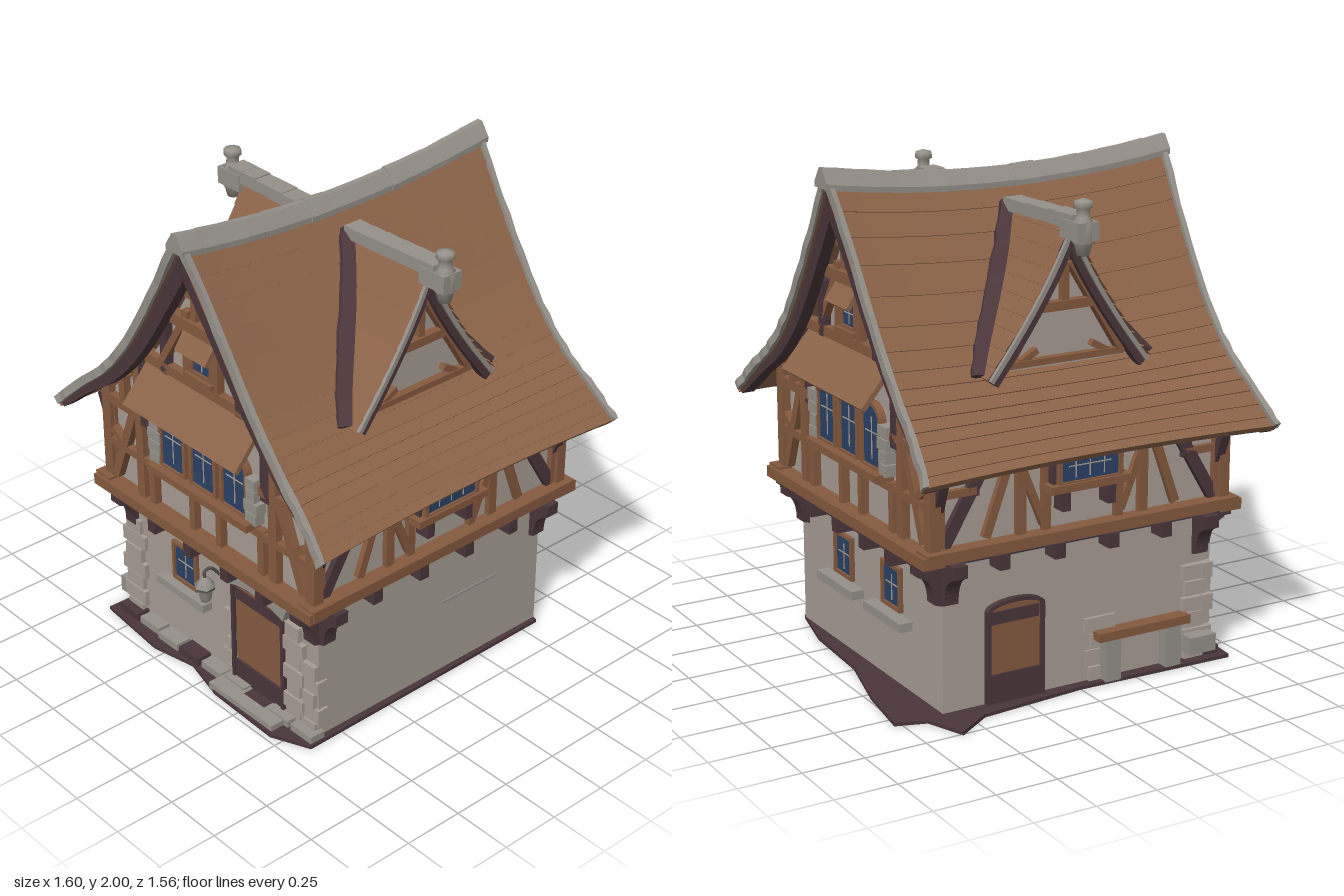
import * as THREE from 'three';

const mat = (name, color) => new THREE.MeshStandardMaterial({ name, color, side: THREE.DoubleSide });
const V = (x, y, z) => new THREE.Vector3(x, y, z);

export function createModel() {
  const plaster = mat('plaster', 0xa79d94), stone = mat('stone', 0x959089), roofTile = mat('roofTile', 0x8c6449);
  const timber = mat('timber', 0x855a3f), darkWood = mat('darkWood', 0x4a363a), glass = mat('glass', 0x2a4166);
  const iron = mat('iron', 0x575350);
  const house = new THREE.Group();
  house.name = 'house';
  let seed = 7;
  const rnd = () => ((seed = (seed * 16807) % 2147483647) / 2147483647);

  // ---- helpers
  const add = (g, name, geo, m) => {
    const mesh = new THREE.Mesh(geo, m);
    mesh.name = name;
    g.add(mesh);
    return mesh;
  };
  const box = (g, name, m, w, h, d, x, y, z, rx = 0, rz = 0) => {
    const b = add(g, name, new THREE.BoxGeometry(w, h, d), m);
    b.position.set(x, y, z);
    b.rotation.set(rx, 0, rz);
    return b;
  };
  // timber lying in a wall plane from (x1,y1) to (x2,y2)
  const beam = (g, m, x1, y1, x2, y2, z, w = 0.04) =>
    box(g, 'timberBeam', m, Math.hypot(x2 - x1, y2 - y1), w, 0.045, (x1 + x2) / 2, (y1 + y2) / 2, z, 0, Math.atan2(y2 - y1, x2 - x1));
  const mirror = (f) => [-1, 1].forEach(f);
  const extrude = (shape, depth) => new THREE.ExtrudeGeometry(shape, { depth, bevelEnabled: false, curveSegments: 8 });
  // closed cross-sections joined in order, flat shaded
  const loft = (rings, capped) => {
    const pos = [], tri = (...p) => p.forEach((q) => pos.push(q.x, q.y, q.z));
    for (let i = 0; i + 1 < rings.length; i++) {
      const a = rings[i], b = rings[i + 1], n = a.length;
      for (let j = 0; j < n; j++) {
        const k = (j + 1) % n;
        tri(a[j], b[j], b[k]);
        tri(a[j], b[k], a[k]);
      }
    }
    if (capped) [rings[0], rings.at(-1)].forEach((r) => { for (let j = 1; j + 1 < r.length; j++) tri(r[0], r[j], r[j + 1]); });
    const geo = new THREE.BufferGeometry();
    geo.setAttribute('position', new THREE.Float32BufferAttribute(pos, 3));
    geo.computeVertexNormals();
    return geo;
  };
  const steps = (n, f) => Array.from({ length: n + 1 }, (_, i) => f(i / n));
  // stepped tile courses on top, smooth underside
  const courses = (n, pt) => {
    const loop = [];
    for (let i = 0; i < n; i++) loop.push(pt(i / n, 0), pt((i + 1) / n, 0.005));
    for (let i = n; i >= 0; i--) loop.push(pt(i / n, -0.028));
    return loop;
  };
  const archShape = (w, h, rise) => {
    const s = new THREE.Shape();
    s.moveTo(-w / 2, 0).lineTo(w / 2, 0).lineTo(w / 2, h - rise);
    if (rise) s.absellipse(0, h - rise, w / 2, rise, 0, Math.PI, false);
    else s.lineTo(-w / 2, h);
    return s;
  };
  const windowAt = (parent, x, y, z, w, h, rise, f = 0.016, cols = 1) => {
    const g = new THREE.Group();
    g.name = 'window';
    g.position.set(x, y, z);
    parent.add(g);
    const frame = archShape(w + 2 * f, h + 2 * f, rise ? rise + f : 0);
    frame.holes.push(new THREE.Path(archShape(w, h, rise).getPoints(8).map((p) => p.add(new THREE.Vector2(0, f)))));
    add(g, 'windowFrame', extrude(frame, 0.03), timber);
    add(g, 'windowPane', extrude(archShape(w, h, rise), 0.006), glass).position.set(0, f, 0.014);
    for (let i = 1; i <= cols; i++) box(g, 'glazingBar', plaster, 0.004, h * 0.7, 0.004, -w / 2 + (w * i) / (cols + 1), f + h * 0.45, 0.021);
    box(g, 'glazingBar', plaster, w * 0.75, 0.004, 0.004, 0, f + h * 0.55, 0.021);
  };
  const wallGroup = (name, angle) => {
    const g = new THREE.Group();
    g.name = name;
    g.rotation.y = angle;
    house.add(g);
    return g;
  };

  // ---- main roof: concave slope, sagging ridge, flared corners
  const slope = new THREE.SplineCurve([[0, 1.915], [0.145, 1.695], [0.345, 1.39], [0.5, 1.21], [0.64, 1.1], [0.76, 0.99]].map((p) => new THREE.Vector2(...p)));
  const roofPt = (s, t, w, off) => {
    const p = slope.getPoint(t), d = slope.getTangent(t);
    return V(s * Math.max(0, p.x - d.y * off) * (1 + 0.035 * w * w * t), p.y + d.x * off + w * w * (0.06 * (1 - t) - 0.01 * t), w * (0.75 + 0.02 * t - 0.14 * t * (1 - t)));
  };
  const roofX = (y) => {
    let a = 0, b = 1;
    for (let i = 0; i < 24; i++) slope.getPoint((a + b) / 2).y > y ? (a = (a + b) / 2) : (b = (a + b) / 2);
    return slope.getPoint(a).x;
  };
  mirror((s) => {
    add(house, 'roofSlope', loft(steps(14, (u) => courses(16, (t, o) => roofPt(s, t, 2 * u - 1, o)))), roofTile);
    mirror((e) => {
      const strip = (w0, w1, low, o1, j) => loft(steps(24, (t) => {
        const k = (rnd() - 0.5) * j, o0 = low(t);
        return [roofPt(s, t, e * w0, o0), roofPt(s, t, e * (w1 + k), o0), roofPt(s, t, e * (w1 + k), o1), roofPt(s, t, e * w0, o1)];
      }), true);
      add(house, 'roofVerge', strip(0.978, 1.008, () => -0.016, 0.018, 0.014), stone);
      add(house, 'bargeBoard', strip(0.92, 0.985, (t) => -0.1 + 0.065 * t, -0.014, 0), darkWood);
    });
  });
  // overlapping ridge stones
  for (let i = 0; i < 15; i++) {
    const ring = (w, k) => {
      const y = 1.912 + 0.06 * w * w, q = 0.046 + k;
      return [V(-q, y - 0.052, w * 0.76), V(-q, y - 0.03, w * 0.76), V(-0.012, y + 0.022 + k, w * 0.76), V(0.012, y + 0.022 + k, w * 0.76), V(q, y - 0.03, w * 0.76), V(q, y - 0.052, w * 0.76)];
    };
    add(house, 'ridgeStone', loft([ring(-1 + (2 * i) / 15, rnd() * 0.004), ring(-1 + (2 * i + 2) / 15, rnd() * 0.006)], true), stone);
  }

  // ---- dormers, one on each slope
  const dormerCurve = new THREE.SplineCurve([[0, 1.81], [0.1, 1.62], [0.22, 1.435], [0.355, 1.255]].map((p) => new THREE.Vector2(...p)));
  [0, Math.PI].forEach((angle) => {
    const g = wallGroup('dormer', angle);
    const pt = (s, v, o, x) => {
      const p = dormerCurve.getPoint(v), d = dormerCurve.getTangent(v);
      return V(x, p.y + d.x * o, s * Math.max(0, p.x - d.y * o));
    };
    const inner = (v) => roofX(dormerCurve.getPoint(v).y);
    mirror((s) => {
      add(g, 'dormerSlope', loft(steps(4, (k) => courses(10, (v, o) => pt(s, v, o, (inner(v) - 0.03) * (1 - k) + 0.525 * k)))), roofTile);
      const edge = (x0, x1, o0, o1) => loft(steps(12, (v) => [pt(s, v, o0, x0), pt(s, v, o0, x1), pt(s, v, o1, x1), pt(s, v, o1, x0)]), true);
      add(g, 'dormerVerge', edge(0.515, 0.53, -0.026, -0.008), stone);
      add(g, 'dormerBargeBoard', edge(0.48, 0.522, -0.055, -0.026), darkWood);
      // dark boards in the valleys, ragged on the outer edge
      add(g, 'valleyBoard', loft(steps(16, (v) => {
        const p = dormerCurve.getPoint(v), x = inner(v), w = 0.035 + 0.015 * Math.sin(v * Math.PI) + rnd() * 0.01;
        return [V(x + 0.05, p.y + 0.02, s * (p.x + 0.005)), V(x + 0.02, p.y + 0.015, s * (p.x + w)), V(x - 0.02, p.y - 0.02, s * (p.x + w)), V(x - 0.02, p.y - 0.02, s * p.x)];
      }), true), darkWood);
    });
    const face = new THREE.Group();
    face.name = 'dormerGable';
    face.rotation.y = Math.PI / 2;
    g.add(face);
    const tri = steps(8, (v) => dormerCurve.getPoint(v)).map((p) => new THREE.Vector2(p.x * 0.9, p.y - 0.03));
    const outline = [...tri.map((p) => new THREE.Vector2(-p.x, p.y)).reverse(), ...tri.slice(1)];
    add(face, 'dormerWall', extrude(new THREE.Shape(outline), 0.06), plaster).position.z = 0.4;
    mirror((s) => {
      beam(face, timber, s * 0.25, 1.3, s * 0.025, 1.66, 0.475, 0.045);
      beam(face, timber, s * 0.19, 1.29, s * 0.12, 1.33, 0.465, 0.025);
    });
    beam(face, timber, -0.12, 1.49, 0.12, 1.49, 0.475, 0.035);
    beam(face, timber, -0.26, 1.285, 0.26, 1.285, 0.47, 0.025);
    beam(face, timber, 0, 1.5, 0, 1.7, 0.465, 0.03);
    // ridge stones and finial
    for (let i = 0; i < 6; i++) box(g, 'dormerRidgeStone', stone, 0.082, 0.045 + rnd() * 0.01, 0.08, 0.14 + i * 0.08, 1.81 + 0.002 * i, 0);
    box(g, 'finialBlock', stone, 0.13, 0.07, 0.09, 0.575, 1.79, 0);
    const finial = [[0, 1.69], [0.025, 1.7], [0.035, 1.74], [0.045, 1.75], [0.045, 1.82], [0.026, 1.84], [0.024, 1.87], [0.036, 1.875], [0.034, 1.9], [0, 1.91]];
    add(g, 'finial', new THREE.LatheGeometry(finial.map((p) => new THREE.Vector2(...p)), 8), stone).position.x = 0.6;
  });

  // ---- masses: ground storey, upper storey with gables, ground slab
  box(house, 'groundStorey', plaster, 1.16, 0.62, 1.18, 0, 0.32, 0.005);
  const eaves = steps(24, (t) => roofPt(1, t, 0, -0.05)).filter((p) => p.x < 0.6 && p.x > 0).map((p) => new THREE.Vector2(p.x, p.y));
  const upper = new THREE.Shape([new THREE.Vector2(-0.6, 0.62), new THREE.Vector2(0.6, 0.62), new THREE.Vector2(0.6, 1.07), ...eaves.slice().reverse(), ...eaves.map((p) => new THREE.Vector2(-p.x, p.y)), new THREE.Vector2(-0.6, 1.07)]);
  add(house, 'upperStorey', extrude(upper, 1.26), plaster).position.z = -0.63;
  const slab = [[-0.64, 0.68], [-0.3, 0.71], [-0.1, 0.67], [0.1, 0.72], [0.45, 0.73], [0.61, 0.66], [0.6, -0.58], [0.35, -0.64], [0, -0.66], [-0.3, -0.74], [-0.56, -0.78], [-0.6, -0.66], [-0.76, -0.6], [-0.66, -0.45], [-0.62, 0]];
  add(house, 'groundSlab', extrude(new THREE.Shape(slab.map(([x, z]) => new THREE.Vector2(x, -z))), 0.014).rotateX(-Math.PI / 2), darkWood);

  // ---- gable walls, front and back
  const gables = [0, Math.PI].map((angle, back) => {
    const g = wallGroup(back ? 'backWall' : 'frontWall', angle), z = 0.64;
    box(g, 'jettyBeam', timber, 1.32, 0.045, 0.09, 0, 0.645, 0.66);
    box(g, 'jettySill', darkWood, 1.26, 0.03, 0.08, 0, 0.612, 0.64);
    [-0.31, -0.085, 0.14, 0.35].forEach((x) => box(g, 'joistEnd', darkWood, 0.045, 0.06, 0.1, x, 0.58, 0.64));
    mirror((s) => {
      [[0.61, 0.66, 0.61, 1.1, 0.05], [0.4, 0.66, 0.4, 1.3, 0.045], [0.33, 0.66, 0.33, 0.86, 0.035], [0.57, 0.69, 0.44, 1.02, 0.04], [0.58, 0.9, 0.51, 0.85, 0.03],
        [0.62, 1.035, 0.32, 1.035, 0.04], [0.5, 1.05, 0.5, 1.17, 0.035], [0.08, 0.66, 0.08, 0.87, 0.03],
        [0.085, 1.32, 0.085, 1.62, 0.035], [0.25, 1.33, 0.11, 1.55, 0.03], [0.03, 1.6, 0.03, 1.76, 0.03]].forEach(([a, b, c, d, w]) => beam(g, timber, s * a, b, s * c, d, z, w));
      beam(g, darkWood, s * 0.22, 1.3, s * 0.22, 1.52, z, 0.04);
      beam(g, darkWood, s * 0.36, 1.0, s * 0.36, 1.34, z, 0.05);
      for (let i = 0; i < 4; i++) box(g, 'windowJambStone', stone, 0.05 + rnd() * 0.03, 0.045, 0.07, s * 0.29, 0.9 + i * 0.05, z);
      // carved corner brackets
      const bracket = new THREE.Shape();
      bracket.moveTo(0, 0.62).lineTo(0.1, 0.62).lineTo(0.1, 0.57).quadraticCurveTo(0.03, 0.55, 0.03, 0.45).lineTo(0, 0.44);
      const m = add(g, 'cornerBracket', extrude(bracket, 0.06).rotateY(-Math.PI / 2), darkWood);
      m.position.set(s * 0.55 + 0.03, 0, 0.585);
      const side = add(g, 'cornerBracket', extrude(bracket, 0.06), darkWood);
      side.position.set(s * 0.575, 0, 0.53);
      side.scale.x = s;
    });
    beam(g, timber, -0.6, 0.84, 0.6, 0.84, z, 0.03);
    beam(g, timber, -0.38, 1.325, 0.38, 1.325, z, 0.04);
    beam(g, timber, -0.16, 1.57, 0.16, 1.57, 0.65, 0.045);
    beam(g, timber, -0.08, 1.7, 0.08, 1.7, z, 0.035);
    // triple arched windows under a sloping hood
    [-0.185, 0, 0.185].forEach((x) => windowAt(g, x, 0.875, 0.64, 0.13, 0.235, 0.055));
    box(g, 'windowSill', timber, 0.6, 0.03, 0.09, 0, 0.868, 0.66);
    windowAt(g, 0, 1.37, 0.632, 0.1, 0.09, 0);
    box(g, 'windowSill', timber, 0.16, 0.02, 0.06, 0, 1.365, 0.65);
    box(g, 'windowHood', roofTile, 0.67, 0.21, 0.02, 0, 1.235, 0.705, -0.7);
    box(g, 'smallHood', roofTile, 0.18, 0.1, 0.018, 0, 1.51, 0.675, -0.6);
    return g;
  });

  // ---- side walls of the upper storey
  const sides = [Math.PI / 2, -Math.PI / 2].map((angle) => {
    const g = wallGroup('sideWall', angle), z = 0.6;
    box(g, 'jettyBeam', timber, 1.38, 0.045, 0.09, 0, 0.655, 0.62);
    box(g, 'jettySill', darkWood, 1.3, 0.025, 0.08, 0, 0.625, 0.59);
    box(g, 'blueTrim', glass, 1.1, 0.02, 0.006, 0, 0.603, 0.583);
    beam(g, timber, -0.64, 0.985, 0.64, 0.985, z, 0.04);
    mirror((s) => {
      [[0.62, 0.66, 0.62, 1.0, 0.05], [0.27, 0.66, 0.27, 1, 0.04], [0.16, 0.66, 0.16, 1, 0.035], [0.33, 0.94, 0.42, 0.69, 0.035], [0.26, 0.92, 0.17, 0.7, 0.03], [0.46, 0.88, 0.62, 0.88, 0.03]].forEach(([a, b, c, d, w]) => beam(g, timber, s * a, b, s * c, d, z, w));
      beam(g, darkWood, s * 0.6, 0.68, s * 0.45, 0.93, z, 0.05);
      beam(g, darkWood, s * 0.47, 0.86, s * 0.47, 0.99, z, 0.04);
      box(g, 'orielBracket', darkWood, 0.035, 0.08, 0.08, s * 0.1, 0.79, 0.625);
      box(g, 'eavesBracket', darkWood, 0.04, 0.2, 0.04, s * 0.62, 0.92, 0.64, 0.35);
      [0.12, 0.36].forEach((x) => box(g, 'joistEnd', darkWood, 0.045, 0.06, 0.09, s * x, 0.595, 0.61));
    });
    box(g, 'orielBox', darkWood, 0.31, 0.17, 0.07, 0, 0.92, 0.62);
    windowAt(g, 0, 0.85, 0.645, 0.25, 0.105, 0, 0.016, 3);
    box(g, 'orielSill', timber, 0.36, 0.03, 0.1, 0, 0.845, 0.635);
    return g;
  });

  // ---- ground storey openings
  const lowWindow = (g, x, z) => {
    windowAt(g, x, 0.315, z, 0.125, 0.15, 0, 0.014);
    box(g, 'stoneSill', stone, 0.3, 0.035, 0.07, x, 0.285, 0.605);
  };
  const door = (g, x, z, w, h) => {
    const frame = archShape(w + 0.03, h + 0.015, 0.04);
    frame.holes.push(new THREE.Path(archShape(w, h, 0.03).getPoints(8)));
    add(g, 'doorFrame', extrude(frame, 0.035), darkWood).position.set(x, 0.01, z);
    add(g, 'door', extrude(archShape(w, h, 0.03), 0.02), timber).position.set(x, 0.01, z);
    box(g, 'doorKickBoard', darkWood, w, 0.12, 0.008, x, 0.07, z + 0.024);
    box(g, 'doorHead', darkWood, w * 0.95, 0.05, 0.006, x, h - 0.045, z + 0.022);
  };
  const quoins = (g, x, z, n, w) => {
    for (let i = 0; i < n; i++) box(g, 'quoinStone', plaster, w + (i % 2) * 0.04 + rnd() * 0.02, 0.058 + rnd() * 0.008, 0.05, x, 0.04 + i * 0.067, z + rnd() * 0.01);
  };
  const [front, back] = gables;
  lowWindow(front, -0.21, 0.582);
  mirror((s) => lowWindow(back, s * 0.2, 0.572));
  door(front, 0.245, 0.585, 0.28, 0.49);
  for (let i = 0; i < 5; i++) {
    const a = (i - 2) * 0.15;
    box(front, 'doorArchStone', stone, 0.078, 0.055, 0.06, 0.245 + Math.sin(a) * 0.5, 0.045 + Math.cos(a) * 0.5, 0.605, 0, -a);
  }
  quoins(front, -0.54, 0.585, 7, 0.09);
  quoins(front, 0.45, 0.585, 7, 0.07);
  quoins(front, 0.54, 0.58, 5, 0.06);
  quoins(front, 0.065, 0.58, 5, 0.04);
  box(front, 'doorStep', stone, 0.38, 0.035, 0.13, 0.25, 0.02, 0.65);
  for (let i = 0; i < 9; i++) box(front, 'footingStone', i % 3 ? stone : darkWood, 0.12, 0.028 + rnd() * 0.02, 0.07, -0.54 + i * 0.135, 0.024, 0.61 + rnd() * 0.02);
  [[-0.5, 0.1], [0.48, 0.13]].forEach(([x, w]) => box(front, 'blueTrim', glass, w, 0.05, 0.006, x, 0.59, 0.597));
  const left = sides[1];
  door(left, -0.28, 0.57, 0.22, 0.4);
  quoins(left, 0.54, 0.57, 6, 0.08);
  quoins(left, 0.1, 0.56, 4, 0.08);
  box(left, 'benchLog', timber, 0.42, 0.035, 0.07, 0.28, 0.2, 0.605);
  mirror((s) => box(left, 'benchFoot', stone, 0.07, 0.18, 0.06, 0.28 + s * 0.14, 0.1, 0.6));
  box(left, 'looseStone', stone, 0.12, 0.07, 0.08, 0.54, 0.09, 0.62);
  box(sides[0], 'wallCrack', stone, 0.3, 0.012, 0.008, 0.2, 0.335, 0.58);

  // ---- hanging lantern beside the door
  const lantern = new THREE.Group();
  lantern.name = 'lantern';
  lantern.position.set(-0.01, 0, 0.665);
  front.add(lantern);
  const body = [[0, 0.36], [0.018, 0.37], [0.026, 0.385], [0.034, 0.435], [0.044, 0.44], [0.02, 0.47], [0, 0.485]];
  add(lantern, 'lanternBody', new THREE.LatheGeometry(body.map((p) => new THREE.Vector2(...p)), 6), stone);
  add(lantern, 'lanternBand', new THREE.CylinderGeometry(0.042, 0.042, 0.012, 6), iron).position.y = 0.436;
  const hook = new THREE.CatmullRomCurve3([V(0, 0.48, 0), V(0, 0.505, 0), V(0, 0.51, -0.03), V(0, 0.46, -0.075)]);
  add(lantern, 'lanternHook', new THREE.TubeGeometry(hook, 10, 0.007, 5), iron);
  return house;
}
